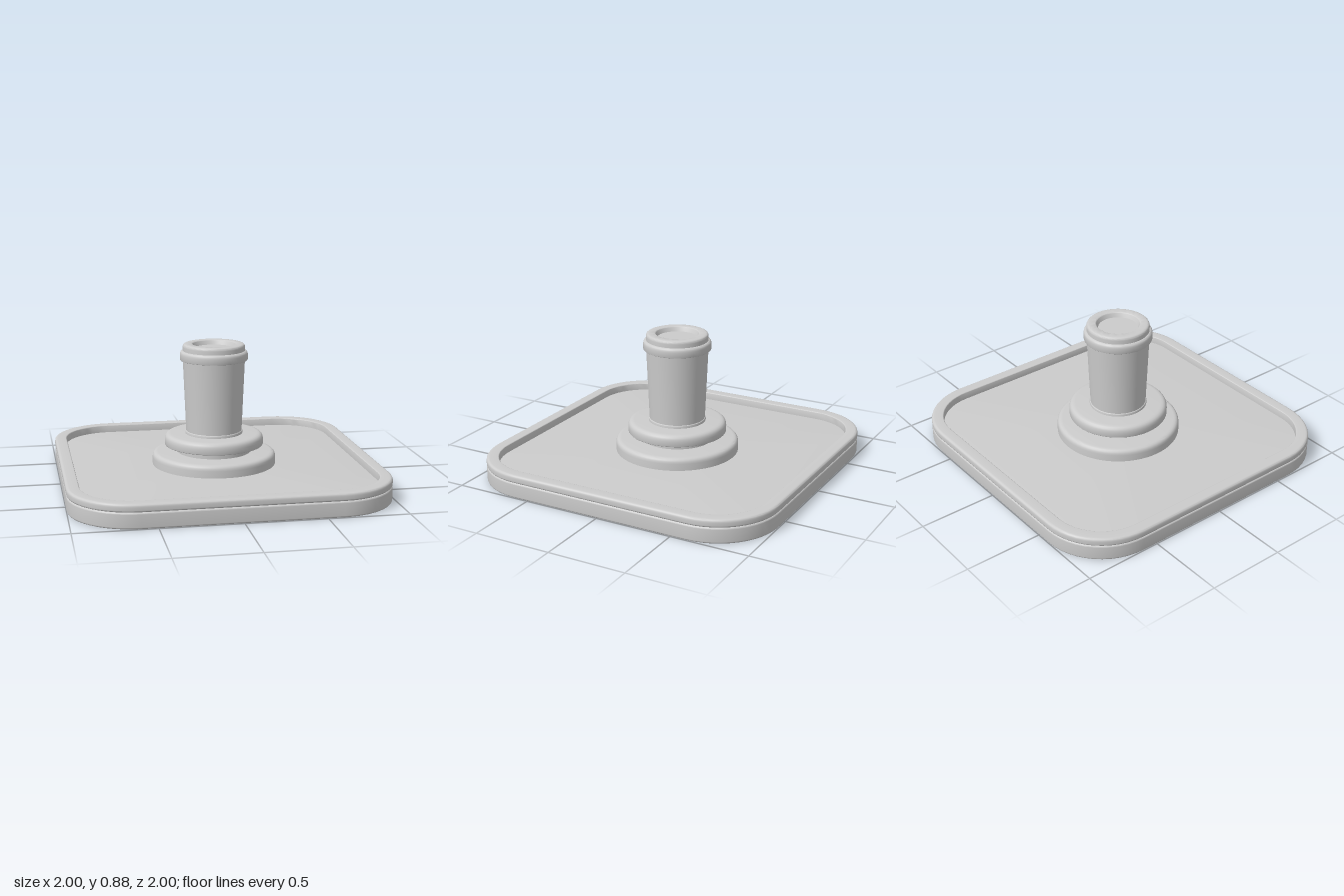
import * as THREE from 'three';
import { toCreasedNormals } from 'three/addons/utils/BufferGeometryUtils.js';

const material = new THREE.MeshStandardMaterial({ color: 0xcccccc });
const CREASE = 0.6;

// Profile from corners [radius, height, rounding]; rounded corners become short curves.
function profile(corners) {
  const points = [];
  corners.forEach(([r, y, round = 0], i) => {
    const p = new THREE.Vector2(r, y);
    if (!round) return points.push(p);
    const toward = (c) => new THREE.Vector2(c[0], c[1]).sub(p).setLength(round).add(p);
    const curve = new THREE.QuadraticBezierCurve(toward(corners[i - 1]), p, toward(corners[i + 1]));
    points.push(...curve.getPoints(5));
  });
  return points;
}

// Turned part
function turned(name, corners) {
  const geometry = new THREE.LatheGeometry(profile(corners), 64);
  const mesh = new THREE.Mesh(toCreasedNormals(geometry, CREASE), material);
  mesh.name = name;
  return mesh;
}

// Rounded-square part: a lathe whose four quarters are pushed out to the corner centres
function squared(name, corners, centre = 0.6, steps = 12) {
  const points = profile(corners);
  const columns = 4 * (steps + 1);
  const geometry = new THREE.LatheGeometry(points, columns);
  const position = geometry.attributes.position;
  for (let i = 0; i <= columns; i++) {
    const column = i % columns;
    const quarter = Math.floor(column / (steps + 1));
    const angle = (quarter + (column % (steps + 1)) / steps) * Math.PI / 2;
    const sx = quarter < 2 ? 1 : -1;
    const sz = quarter === 0 || quarter === 3 ? 1 : -1;
    points.forEach((p, j) => {
      const push = p.x > 1e-6 ? centre : 0;
      position.setXYZ(i * points.length + j,
        sx * push + p.x * Math.sin(angle), p.y, sz * push + p.x * Math.cos(angle));
    });
  }
  const mesh = new THREE.Mesh(toCreasedNormals(geometry, CREASE), material);
  mesh.name = name;
  return mesh;
}

export function createModel() {
  const group = new THREE.Group();
  group.name = 'pedestal';

  // Square base plate and the raised rim on top of it
  group.add(squared('basePlate', [
    [0, 0], [0.4, 0, 0.012], [0.4, 0.1, 0.012], [0, 0.1],
  ]));
  group.add(squared('baseRim', [
    [0.34, 0.1], [0.4, 0.1, 0.012], [0.4, 0.15, 0.02], [0.32, 0.15, 0.008], [0.32, 0.1], [0.34, 0.1],
  ]));

  // Stepped foot
  group.add(turned('footFlange', [[0.4, 0.09], [0.4, 0.18, 0.035], [0, 0.18]]));
  group.add(turned('footNeck', [[0.24, 0.17], [0.24, 0.235]]));
  group.add(turned('footCollar', [
    [0, 0.225], [0.32, 0.225, 0.008], [0.32, 0.3, 0.04], [0, 0.3],
  ]));

  // Tapered stem with a small ring at its foot
  group.add(turned('stemRing', [[0.186, 0.295], [0.186, 0.318, 0.006], [0.17, 0.318]]));
  group.add(turned('stem', [[0.18, 0.31], [0.2, 0.785]]));

  // Lip and cap with a shallow round recess
  group.add(turned('lip', [
    [0.18, 0.78], [0.218, 0.78, 0.005], [0.218, 0.842, 0.025], [0.18, 0.842],
  ]));
  group.add(turned('cap', [
    [0.2, 0.835], [0.2, 0.885, 0.02], [0.14, 0.885, 0.006], [0.126, 0.855], [0, 0.855],
  ]));

  return group;
}
